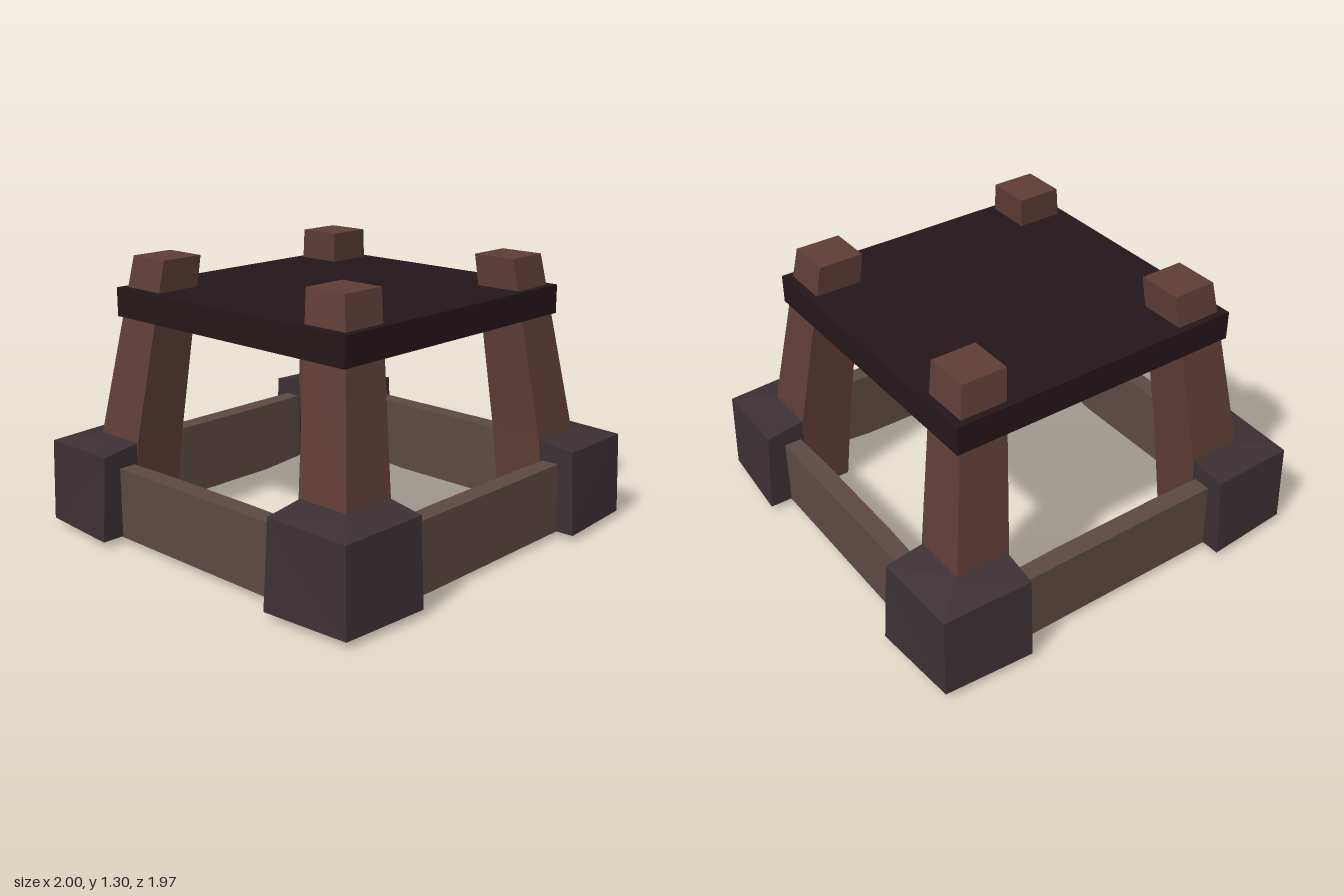
import * as THREE from 'three';

const mat = (color) => new THREE.MeshStandardMaterial({ color, flatShading: true, side: THREE.DoubleSide });

// Skins a list of matching point rows. Closed rows form a hollow tube, open at
// its start and capped at its end by a fan from point 0; open rows form a channel.
function loft(rows, closed) {
  const pos = [];
  const tri = (a, b, c) => pos.push(...a, ...b, ...c);
  const n = rows[0].length;
  for (let s = 0; s < rows.length - 1; s++) {
    const lo = rows[s], hi = rows[s + 1];
    for (let i = 0; i < (closed ? n : n - 1); i++) {
      const j = (i + 1) % n;
      tri(lo[i], lo[j], hi[j]);
      tri(lo[i], hi[j], hi[i]);
    }
  }
  if (closed) {
    const last = rows[rows.length - 1];
    for (let i = 1; i < n - 1; i++) tri(last[0], last[i], last[i + 1]);
  }
  const geo = new THREE.BufferGeometry();
  geo.setAttribute('position', new THREE.Float32BufferAttribute(pos, 3));
  geo.computeVertexNormals();
  return geo;
}

// Leaning, tapering post: square sections given as [y, inner, outer]
function legGeometry() {
  return loft([
    [0.02, 0.555, 0.8],
    [0.46, 0.523, 0.788],
    [1.3, 0.445, 0.66],
  ].map(([y, a, b]) => [[a, y, a], [a, y, b], [b, y, b], [b, y, a]]), true);
}

// L-shaped guard wrapped around the outside of a post foot, open underneath
function guardGeometry() {
  const bottom = [[0.8, 0.8], [0.535, 0.8], [0.54, 0.985], [0.968, 0.957], [1, 0.53], [0.8, 0.53]]
    .map(([x, z]) => [x, 0.03, z]);
  const top = [
    [0.785, 0.458, 0.782], [0.53, 0.458, 0.782], [0.535, 0.43, 0.962],
    [0.96, 0.422, 0.945], [0.972, 0.43, 0.53], [0.785, 0.458, 0.53],
  ];
  return loft([bottom, top], true);
}

// Hollow rail, open underneath, its inner wall sagging at mid-span:
// sections given as [x, inner bottom y, inner bottom z]
function railGeometry() {
  return loft([
    [-0.8, 0.018, 0.808],
    [-0.54, 0.015, 0.806],
    [-0.28, 0, 0.798],
    [0.28, 0, 0.798],
    [0.54, 0.015, 0.806],
    [0.8, 0.018, 0.808],
  ].map(([x, y, z]) => [[x, y, z], [x, 0.36, z], [x, 0.36, 0.89], [x, 0.025, 0.89]]), false);
}

export function createModel() {
  const model = new THREE.Group();
  const add = (name, geo, material) => {
    const mesh = new THREE.Mesh(geo, material);
    mesh.name = name;
    model.add(mesh);
    return mesh;
  };

  const legMat = mat(0x5e3d35), guardMat = mat(0x3b3034);
  const railMat = mat(0x5c4842), deckMat = mat(0x24161a);
  const leg = legGeometry(), guard = guardGeometry(), rail = railGeometry();

  // Corners mirrored across both axes
  for (const [sx, side] of [[1, 'Left'], [-1, 'Right']]) {
    for (const [sz, end] of [[1, 'front'], [-1, 'back']]) {
      add(end + side + 'Leg', leg, legMat).scale.set(sx, 1, sz);
      add(end + side + 'FootGuard', guard, guardMat).scale.set(sx, 1, sz);
    }
  }

  // Rails turned about the centre
  ['front', 'left', 'back', 'right'].forEach((side, i) => {
    add(side + 'Rail', rail, railMat).rotation.y = i * Math.PI / 2;
  });

  // Flat deck the posts pass through
  add('deck', new THREE.BoxGeometry(1.445, 0.135, 1.43), deckMat).position.y = 1.086;

  return model;
}
